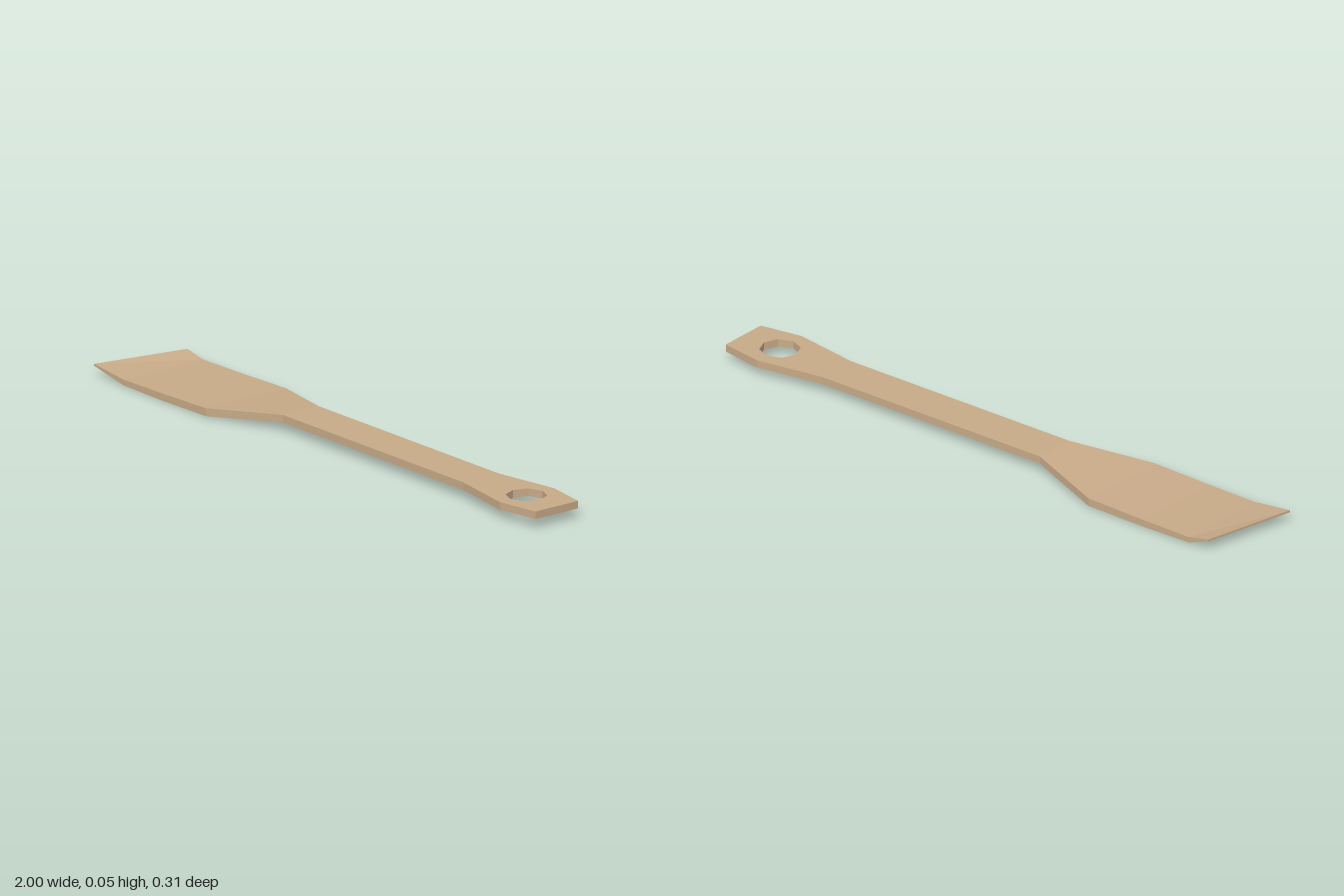
import * as THREE from 'three';

const HANDLE_BOTTOM = 0.03, HANDLE_TOP = 0.054;

// Lofts rectangular sections [xFront, xBack, halfWidth, yBottom, yTop] into a flat-faced bar
function loft(sections) {
  const rings = sections.map(([xf, xb, w, y0, y1]) => [
    [xf, y0, w], [xf, y1, w], [xb, y1, -w], [xb, y0, -w],
  ]);
  const pos = [];
  const quad = (a, b, c, d) => [a, b, c, a, c, d].forEach((p) => pos.push(...p));
  for (let i = 0; i < rings.length - 1; i++) {
    const r = rings[i], s = rings[i + 1];
    for (let k = 0; k < 4; k++) {
      const n = (k + 1) % 4;
      quad(r[k], s[k], s[n], r[n]);
    }
  }
  // cap on the first section; the last one meets the next part
  quad(...rings[0]);
  const g = new THREE.BufferGeometry();
  g.setAttribute('position', new THREE.Float32BufferAttribute(pos, 3));
  g.computeVertexNormals();
  return g;
}

// Flared end of the handle with an eight-sided hanging hole
function hangingEnd() {
  const outline = [[0.64, 0.069], [0.86, 0.106], [1, 0.083]];
  const mirrored = outline.map(([x, z]) => [x, -z]);
  const shape = new THREE.Shape(
    [...mirrored, ...outline.reverse()].map(([x, z]) => new THREE.Vector2(x, z))
  );
  const hole = [];
  for (let i = 0; i < 8; i++) {
    const a = (-i * Math.PI) / 4;
    hole.push(new THREE.Vector2(0.857 + 0.063 * Math.cos(a), 0.063 * Math.sin(a)));
  }
  shape.holes.push(new THREE.Path(hole));
  const g = new THREE.ExtrudeGeometry(shape, {
    depth: HANDLE_TOP - HANDLE_BOTTOM, bevelEnabled: false,
  });
  g.rotateX(-Math.PI / 2);
  g.translate(0, HANDLE_BOTTOM, 0);
  return g;
}

export function createModel() {
  const group = new THREE.Group();
  group.name = 'spatula';
  const wood = new THREE.MeshStandardMaterial({ color: 0xc8ab89, flatShading: true });
  wood.name = 'pale wood';
  const add = (name, geometry) => {
    const mesh = new THREE.Mesh(geometry, wood);
    mesh.name = name;
    group.add(mesh);
  };

  // Slanted upturned tip, flat blade, rising shoulder and straight handle
  add('bladeAndHandle', loft([
    [-1, -0.935, 0.155, 0.03, 0.036],
    [-0.86, -0.86, 0.155, 0.003, 0.021],
    [-0.68, -0.68, 0.155, 0, 0.023],
    [-0.47, -0.47, 0.155, 0.003, 0.028],
    [-0.21, -0.21, 0.069, HANDLE_BOTTOM, HANDLE_TOP],
    [0.64, 0.64, 0.069, HANDLE_BOTTOM, HANDLE_TOP],
  ]));
  add('hangingEnd', hangingEnd());
  return group;
}
